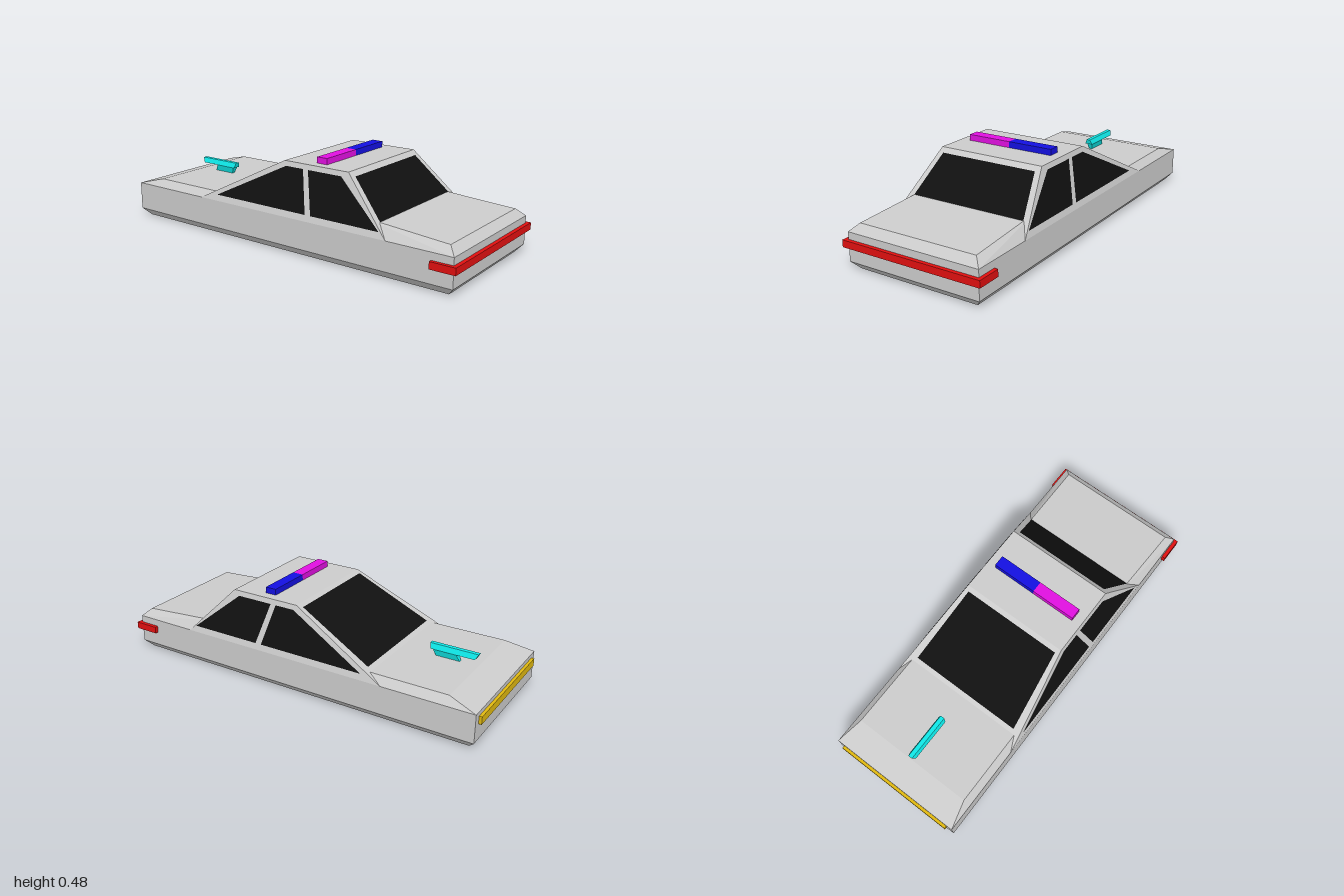
import * as THREE from 'three';
import { ConvexGeometry } from 'three/addons/geometries/ConvexGeometry.js';

const paint = (color) => new THREE.MeshStandardMaterial({ color, flatShading: true });
const grey = paint(0xcccccc);
const red = paint(0xe01010);
const yellow = paint(0xe0b810);
const cyan = paint(0x10e8e8);
const glass = new THREE.MeshStandardMaterial({ color: 0x101010, side: THREE.DoubleSide });

export function createModel() {
  const car = new THREE.Group();
  car.name = 'car';

  const add = (name, geometry, material) => {
    const mesh = new THREE.Mesh(geometry, material);
    mesh.name = name;
    car.add(mesh);
    return mesh;
  };

  // Convex solid from [x, y, halfWidth] points mirrored across z
  const hull = (name, points, material) => add(name, new ConvexGeometry(points.flatMap(
    ([x, y, z]) => [new THREE.Vector3(x, y, z), new THREE.Vector3(x, y, -z)])), material);

  // Box from its minimum and maximum on each axis
  const box = (name, [x0, x1], [y0, y1], [z0, z1], material) => add(name,
    new THREE.BoxGeometry(x1 - x0, y1 - y0, z1 - z0)
      .translate((x0 + x1) / 2, (y0 + y1) / 2, (z0 + z1) / 2), material);

  // Flat four-cornered window
  const pane = (name, corners) => {
    const g = new THREE.BufferGeometry();
    g.setAttribute('position', new THREE.Float32BufferAttribute(corners.flat(), 3));
    g.setIndex([0, 1, 2, 0, 2, 3]);
    g.computeVertexNormals();
    add(name, g, glass);
  };

  // Body shell
  const belt = 0.187, roof = 0.447;
  hull('lowerBody', [
    [-0.95, 0, 0.33], [0.945, 0, 0.33],
    [-0.985, 0.04, 0.365], [0.98, 0.04, 0.365],
    [-0.985, belt, 0.365], [0.98, belt, 0.365],
  ], grey);
  hull('hood', [
    [-0.985, belt, 0.365], [-0.3, belt, 0.365],
    [-0.84, 0.225, 0.33], [-0.3, 0.225, 0.33],
  ], grey);
  hull('trunk', [
    [0.5, belt, 0.365], [0.98, belt, 0.365],
    [0.5, 0.254, 0.315], [0.94, 0.225, 0.325],
  ], grey);
  hull('cabin', [
    [-0.51, belt, 0.365], [0.635, belt, 0.365],
    [0, roof, 0.29], [0.38, roof, 0.29],
  ], grey);

  // Windows lie just proud of the cabin's sloping planes
  const gap = 0.002;
  const rise = (y) => (y - belt) / (roof - belt);
  const sideZ = (y) => 0.365 - 0.075 * rise(y) + gap;
  const frontX = (y) => -0.51 + 0.51 * rise(y) - gap;
  const rearX = (y) => 0.635 - 0.255 * rise(y) + gap;
  const endPane = (name, xAt, y0, z0, y1, z1) => pane(name, [
    [xAt(y0), y0, z0], [xAt(y0), y0, -z0], [xAt(y1), y1, -z1], [xAt(y1), y1, z1]]);
  endPane('windshield', frontX, 0.237, 0.31, 0.436, 0.27);
  endPane('rearWindow', rearX, 0.25, 0.316, 0.425, 0.267);

  const low = 0.218, high = 0.423;
  for (const [label, s] of [['left', 1], ['right', -1]]) {
    // Bottom and top x limits of each door window
    const side = (name, b0, b1, t1, t0) => pane(name, [
      [b0, low, s * sideZ(low)], [b1, low, s * sideZ(low)],
      [t1, high, s * sideZ(high)], [t0, high, s * sideZ(high)]]);
    side(label === 'left' ? 'frontWindowLeft' : 'frontWindowRight', -0.4, 0.175, 0.12, 0.015);
    side(label === 'left' ? 'rearWindowLeft' : 'rearWindowRight', 0.208, 0.595, 0.345, 0.15);
  }

  // Roof light bar in two colours
  box('lightBarMagenta', [0.16, 0.22], [roof, 0.478], [0, 0.24], paint(0xe010e0));
  box('lightBarBlue', [0.16, 0.22], [roof, 0.478], [-0.24, 0], paint(0x1410e0));

  // Wrap-around tail light strip
  box('tailStrip', [0.98, 1], [0.114, 0.15], [-0.384, 0.384], red);
  box('tailStripLeft', [0.87, 0.98], [0.114, 0.15], [0.365, 0.384], red);
  box('tailStripRight', [0.87, 0.98], [0.114, 0.15], [-0.384, -0.365], red);

  // Headlight strip
  box('headlightStrip', [-1, -0.985], [0.125, 0.165], [-0.33, 0.33], yellow);

  // Hood ornament: slanted stem under a tapered bar
  hull('ornamentStem', [
    [-0.745, 0.224, 0.008], [-0.62, 0.224, 0.008],
    [-0.725, 0.262, 0.018], [-0.605, 0.262, 0.018],
  ], cyan);
  hull('ornamentBar', [
    [-0.825, 0.26, 0.021], [-0.595, 0.26, 0.021],
    [-0.84, 0.287, 0.011], [-0.588, 0.287, 0.011],
  ], cyan);

  return car;
}
